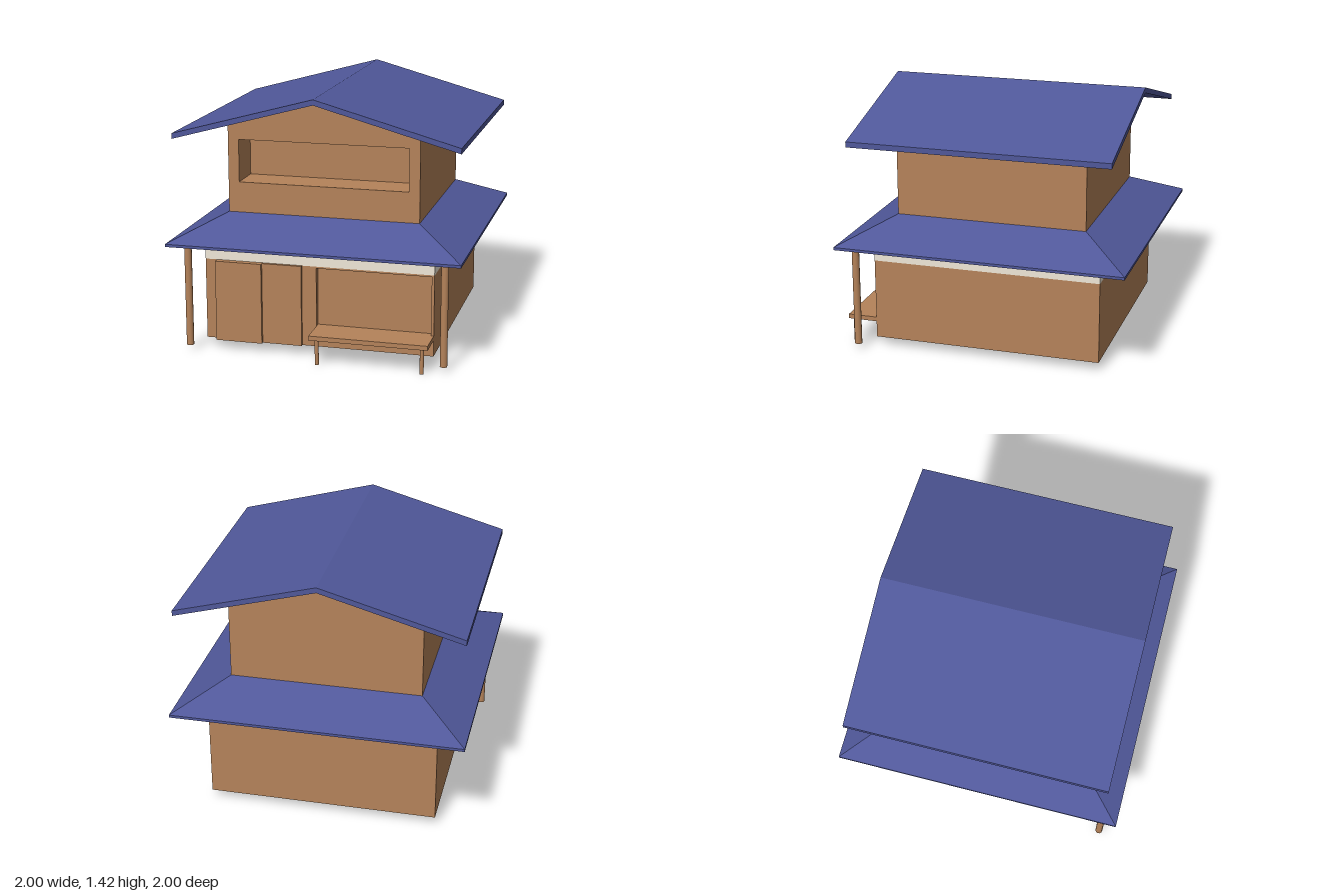
import * as THREE from 'three';

const wood = new THREE.MeshStandardMaterial({ color: 0xb5835a });
const plaster = new THREE.MeshStandardMaterial({ color: 0xf0e8d8 });
const tile = new THREE.MeshStandardMaterial({ color: 0x50589a });

export function createModel() {
  const house = new THREE.Group();
  house.name = 'house';

  function add(name, geometry, material, x = 0, y = 0, z = 0) {
    const mesh = new THREE.Mesh(geometry, material);
    mesh.name = name;
    mesh.position.set(x, y, z);
    house.add(mesh);
    return mesh;
  }

  // Box given by its limits on each axis
  function box(name, material, [x0, x1], [y0, y1], [z0, z1]) {
    return add(name, new THREE.BoxGeometry(x1 - x0, y1 - y0, z1 - z0), material,
      (x0 + x1) / 2, (y0 + y1) / 2, (z0 + z1) / 2);
  }

  // Outline in x and y, extruded from z0 to z1, with an optional rectangular opening
  function slab(name, material, outline, z0, z1, opening) {
    const shape = new THREE.Shape(outline.map(([x, y]) => new THREE.Vector2(x, y)));
    if (opening) {
      const [x0, x1, y0, y1] = opening;
      shape.holes.push(new THREE.Path([[x0, y0], [x0, y1], [x1, y1], [x1, y0]]
        .map(([x, y]) => new THREE.Vector2(x, y))));
    }
    const geometry = new THREE.ExtrudeGeometry(shape, { depth: z1 - z0, bevelEnabled: false });
    return add(name, geometry, material, 0, 0, z0);
  }

  // Ground floor: wooden walls with a shallow window recess, plaster band above
  const w = 0.635;
  box('groundFloorWalls', wood, [-w, w], [0.05, 0.5], [-w, 0.6]);
  slab('groundFloorFront', wood, [[-w, 0.05], [w, 0.05], [w, 0.5], [-w, 0.5]],
    0.6, w, [-0.01, 0.62, 0.165, 0.49]);
  box('plasterBand', plaster, [-w, w], [0.5, 0.6], [-w, w]);

  // Overlapping sliding doors
  box('outerDoor', wood, [-0.57, -0.31], [0.05, 0.5], [0.6, 0.67]);
  box('innerDoor', wood, [-0.31, -0.09], [0.05, 0.5], [0.6, 0.652]);

  // Bench below the window
  box('benchSeat', wood, [-0.01, w], [0.14, 0.165], [0.6, 0.8]);
  for (const x of [0.03, 0.6]) {
    add('benchLeg', new THREE.CylinderGeometry(0.011, 0.011, 0.14, 12), wood, x, 0.07, 0.775);
  }

  // Front posts carrying the lower roof
  for (const x of [-0.705, 0.705]) {
    add('roofPost', new THREE.CylinderGeometry(0.02, 0.02, 0.575, 16), wood, x, 0.3175, 0.717);
  }

  // Lower roof: square eave and truncated pyramid
  box('lowerEave', tile, [-0.803, 0.803], [0.6, 0.615], [-0.803, 0.803]);
  const slope = new THREE.CylinderGeometry(0.53 * Math.SQRT2, 0.803 * Math.SQRT2, 0.132, 4)
    .rotateY(Math.PI / 4).toNonIndexed();
  slope.computeVertexNormals();
  add('lowerRoof', slope, tile, 0, 0.681, 0);

  // Upper floor: gabled walls with a deep window recess in front
  const u = 0.53;
  const gable = [[-u, 0.745], [u, 0.745], [u, 1.243], [0, 1.389], [-u, 1.243]];
  slab('upperFloorWalls', wood, gable, -u, 0.33);
  slab('upperFloorFront', wood, gable, 0.33, u, [-0.47, 0.47, 0.915, 1.15]);

  // Upper gable roof
  slab('upperRoof', tile, [[-0.78, 1.175], [0, 1.39], [0.78, 1.175],
    [0.78, 1.205], [0, 1.42], [-0.78, 1.205]], -0.72, 0.72);

  // The house stands turned on its plot
  house.rotation.y = 0.291;
  const model = new THREE.Group();
  model.name = 'twoStoreyHouse';
  model.add(house);
  return model;
}
